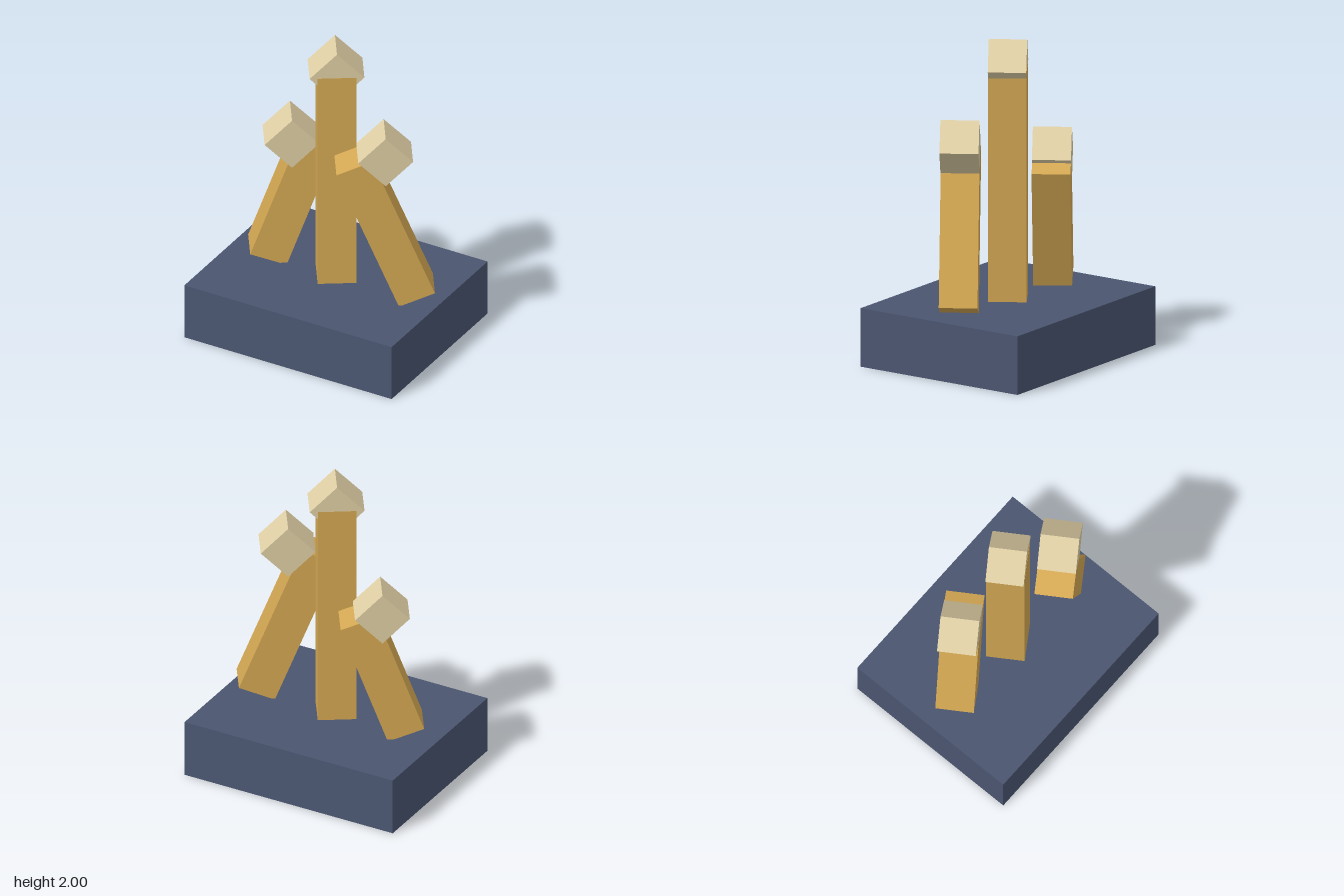
import * as THREE from 'three';

const SIDE = 0.237;      // width of every pillar and cap
const BASE_TOP = 0.37;

const paint = (color) => new THREE.MeshStandardMaterial({ color, flatShading: true });

function box(name, w, h, d, material) {
  const mesh = new THREE.Mesh(new THREE.BoxGeometry(w, h, d), material);
  mesh.name = name;
  return mesh;
}

export function createModel() {
  const model = new THREE.Group();
  const slate = paint(0x4a5570);
  const gold = paint(0xd4a853);
  const cream = paint(0xe0cfa5);

  // Slab turned slightly about the vertical
  const base = box('base', 1.462, BASE_TOP, 1.171, slate);
  base.position.y = BASE_TOP / 2;
  base.rotation.y = THREE.MathUtils.degToRad(12);
  model.add(base);

  // Square pillars turned 45 degrees, each with a cube cap standing on its edge.
  // Cap depth differs by a hair from the pillar so the end faces do not coincide.
  const pillars = [
    { name: 'centrePillar', x: 0, height: 1.462, lean: 0, capDepth: SIDE - 0.002 },
    { name: 'leftPillar', x: 0.4, height: 1.022, lean: 22, capDepth: SIDE + 0.002 },
    { name: 'rightPillar', x: -0.37, height: 0.843, lean: -20, capDepth: SIDE + 0.002 },
  ];
  for (const { name, x, height, lean, capDepth } of pillars) {
    const group = new THREE.Group();
    group.name = name;
    group.position.set(x, BASE_TOP, 0);
    group.rotation.y = Math.PI / 4;

    // Shaft leans about its middle
    const shaft = box('shaft', SIDE, height, SIDE, gold);
    shaft.position.y = height / 2;
    shaft.rotation.z = THREE.MathUtils.degToRad(lean);

    const cap = box('cap', SIDE, SIDE, capDepth, cream);
    cap.position.y = height;
    cap.rotation.z = Math.PI / 4;

    group.add(shaft, cap);
    model.add(group);
  }
  return model;
}
